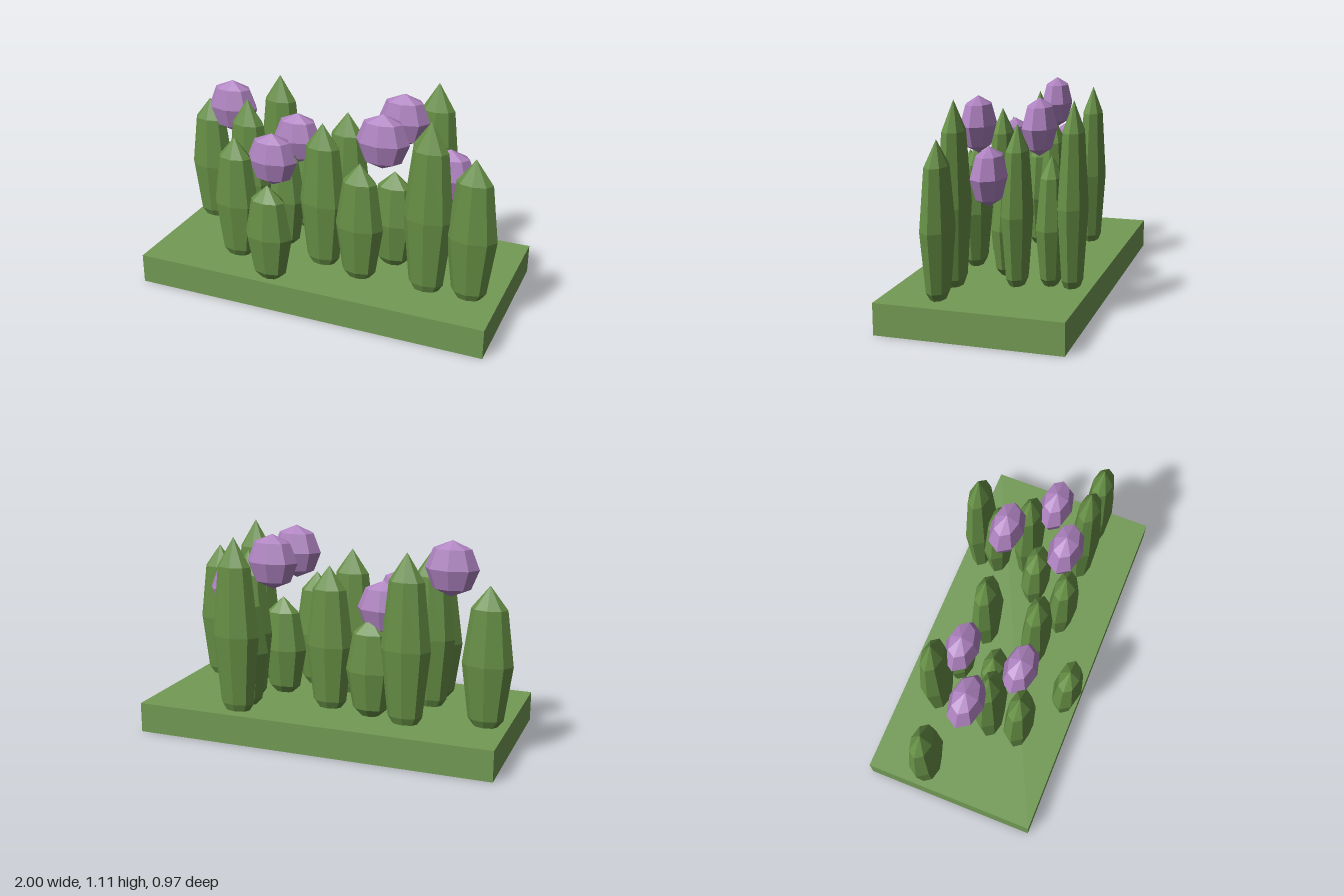
import * as THREE from 'three';

const soilMat = new THREE.MeshStandardMaterial({ color: 0x729a54 });
const leafMat = new THREE.MeshStandardMaterial({ color: 0x668f45, flatShading: true });
const bloomMat = new THREE.MeshStandardMaterial({ color: 0xae82c0, flatShading: true });

// Blades: x, z, height of the tip
const BLADES = [
  [-0.865, -0.16, 0.91], [-0.46, -0.265, 1.07], [-0.25, -0.215, 0.7], [0, -0.16, 0.95],
  [0.45, -0.38, 1.11], [0.45, -0.27, 0.83], [0.5, -0.105, 0.99], [0.34, 0, 0.72],
  [-0.32, 0.01, 0.78], [-0.5, 0.065, 1.03], [-0.02, 0.14, 0.99], [-0.5, 0.23, 0.87],
  [0.22, 0.21, 0.83], [0.595, 0.195, 1.11], [0.83, 0.195, 0.95], [-0.22, 0.405, 0.71],
];

// Blooms: x, z, height of the centre
const BLOOMS = [
  [-0.625, -0.005, 0.95], [-0.31, -0.17, 0.745], [-0.31, 0.16, 0.745],
  [0.325, -0.17, 0.95], [0.325, 0.16, 0.95], [0.64, -0.005, 0.745],
];

// Low-poly ellipsoid shared by blades and blooms
const ball = new THREE.SphereGeometry(1, 8, 4);

function ellipsoid(name, material, position, radii) {
  const mesh = new THREE.Mesh(ball, material);
  mesh.name = name;
  mesh.position.set(...position);
  mesh.scale.set(...radii);
  return mesh;
}

export function createModel() {
  const model = new THREE.Group();
  model.name = 'flowerBed';

  // Grass slab
  const slab = new THREE.Mesh(new THREE.BoxGeometry(1.98, 0.165, 0.96), soilMat);
  slab.name = 'grassSlab';
  slab.position.set(0.005, 0.0825, -0.005);
  model.add(slab);

  // Tall pointed blades, rooted a little inside the slab
  const blades = new THREE.Group();
  blades.name = 'blades';
  for (const [x, z, tip] of BLADES) {
    const r = 0.295 + 0.5875 * (tip - 0.71);
    blades.add(ellipsoid('blade', leafMat, [x, tip - r, z], [0.135, r, 0.08]));
  }
  model.add(blades);

  // Round blooms
  const blooms = new THREE.Group();
  blooms.name = 'blooms';
  for (const [x, z, y] of BLOOMS) {
    blooms.add(ellipsoid('bloom', bloomMat, [x, y, z], [0.147, 0.15, 0.092]));
  }
  model.add(blooms);

  return model;
}
